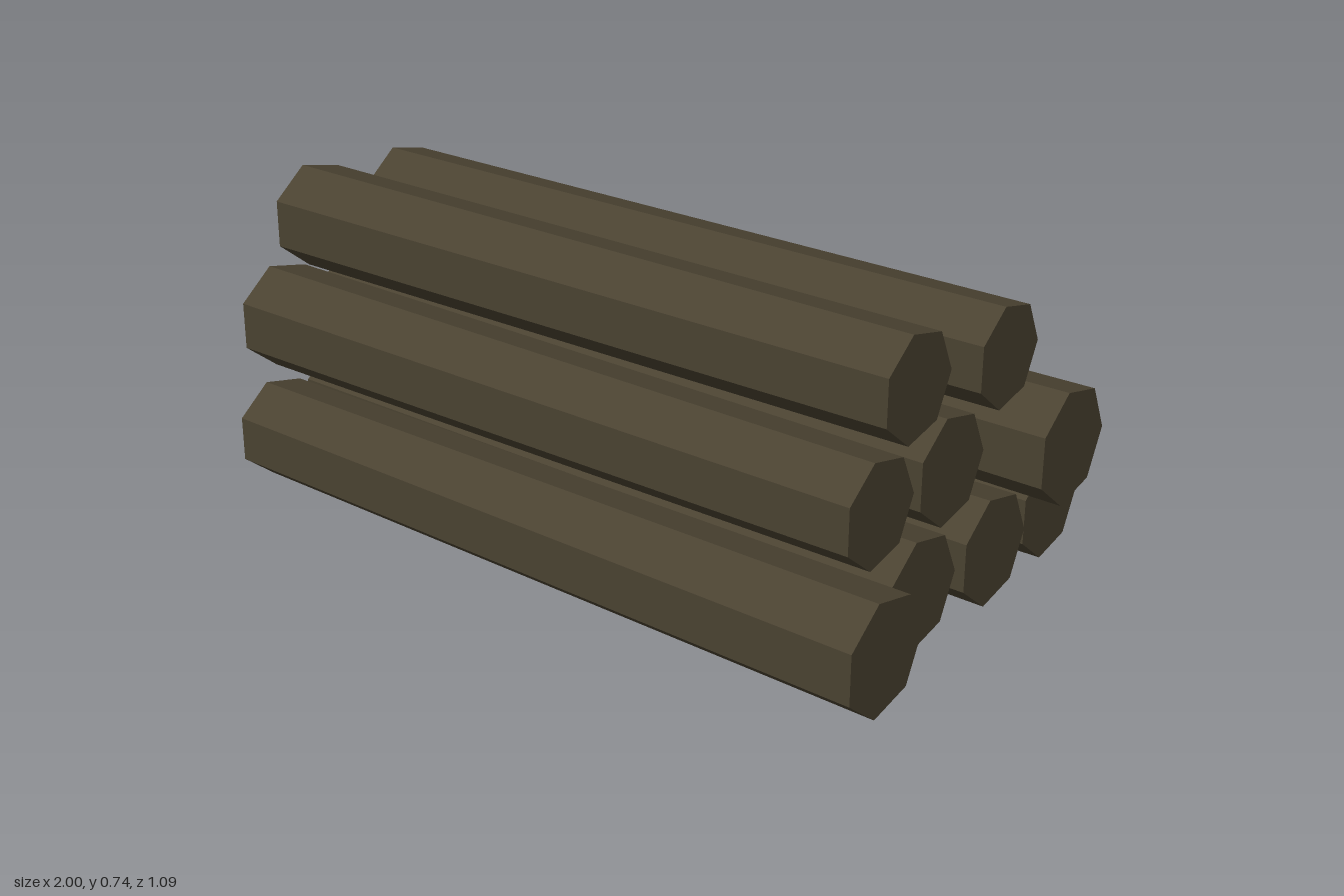
import * as THREE from 'three';

// Each log: [left end x, right end x, z, left radius, right radius]
const rows = [
  { name: 'bottomLog', y: 0.139, logs: [
    [-0.87, 0.975, 0.423, 0.129, 0.1385],
    [-0.935, 0.885, 0.145, 0.128, 0.136],
    [-0.92, 0.90, -0.131, 0.128, 0.136],
    [-0.965, 0.885, -0.408, 0.139, 0.128],
  ] },
  { name: 'middleLog', y: 0.375, logs: [
    [-0.99, 0.86, 0.285, 0.139, 0.128],
    [-0.99, 0.86, 0.007, 0.1355, 0.133],
    [-0.855, 1.0, -0.27, 0.131, 0.1405],
  ] },
  { name: 'topLog', y: 0.61, logs: [
    [-1.0, 0.85, 0.144, 0.1385, 0.129],
    [-0.955, 0.905, -0.13, 0.131, 0.123],
  ] },
];

export function createModel() {
  const model = new THREE.Group();
  model.name = 'logPile';
  const wood = new THREE.MeshStandardMaterial({ color: 0x4a4231, flatShading: true });
  wood.name = 'dark wood';

  // Tapered seven-sided logs lying along x, a corner pointing to the back
  for (const row of rows) {
    row.logs.forEach(([x0, x1, z, r0, r1], i) => {
      const geometry = new THREE.CylinderGeometry(r1, r0, x1 - x0, 7, 1, false, Math.PI);
      geometry.rotateZ(-Math.PI / 2);
      const log = new THREE.Mesh(geometry, wood);
      log.name = row.name + (i + 1);
      log.position.set((x0 + x1) / 2, row.y, z);
      model.add(log);
    });
  }
  return model;
}
